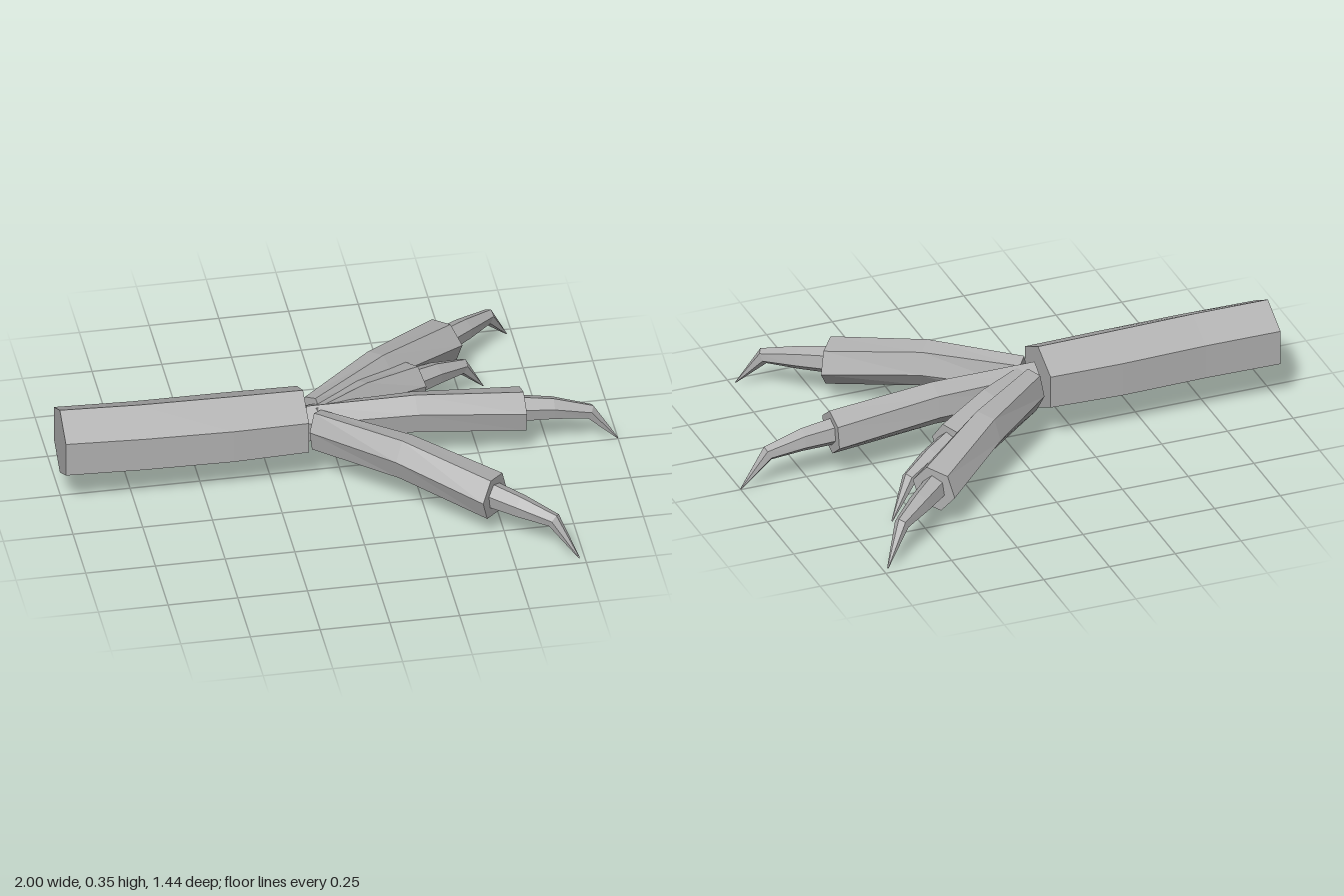
import * as THREE from 'three';

const SIDES = 6;

// Loft six-sided rings along a horizontal heading, closing both ends.
// Each ring: [x, y, z, half width, half height, forward lean]
function loft(name, material, rings, heading, rollDegrees) {
  const along = new THREE.Vector3(Math.cos(heading), 0, Math.sin(heading));
  const across = new THREE.Vector3(-along.z, 0, along.x);
  const roll = THREE.MathUtils.degToRad(rollDegrees);
  const points = [];
  const index = [];
  for (const [x, y, z, w, h, lean = 0] of rings) {
    for (let j = 0; j < SIDES; j++) {
      const a = roll + (j / SIDES) * Math.PI * 2;
      const up = Math.sin(a) * h;
      const p = new THREE.Vector3(x, y + up, z)
        .addScaledVector(across, Math.cos(a) * w)
        .addScaledVector(along, up * lean);
      points.push(p.x, p.y, p.z);
    }
  }
  for (let i = 0; i < rings.length - 1; i++) {
    for (let j = 0; j < SIDES; j++) {
      const a = i * SIDES + j;
      const b = i * SIDES + (j + 1) % SIDES;
      index.push(a, a + SIDES, b, b, a + SIDES, b + SIDES);
    }
  }
  const last = (rings.length - 1) * SIDES;
  for (let j = 1; j < SIDES - 1; j++) {
    index.push(0, j, j + 1, last, last + j + 1, last + j);
  }
  const indexed = new THREE.BufferGeometry();
  indexed.setAttribute('position', new THREE.Float32BufferAttribute(points, 3));
  indexed.setIndex(index);
  const geometry = indexed.toNonIndexed();
  geometry.computeVertexNormals();
  const mesh = new THREE.Mesh(geometry, material);
  mesh.name = name;
  return mesh;
}

// A toe with its hooked claw, from start [x, z] through end [x, z] to tip [x, z]
function makeToe(name, material, { start, end, tip, roll, width, height, y }) {
  const group = new THREE.Group();
  group.name = name;
  const mix = (a, b, t) => [a[0] + (b[0] - a[0]) * t, a[1] + (b[1] - a[1]) * t];
  const ring = (p, py, ...rest) => [p[0], py, p[1], ...rest];

  const toeHeading = Math.atan2(end[1] - start[1], end[0] - start[0]);
  group.add(loft('toe', material, [0, 0.5, 1].map((t, i) =>
    ring(mix(start, end, t), y[i], width[i], height)), toeHeading, roll));

  const clawHeading = Math.atan2(tip[1] - end[1], tip[0] - end[0]);
  const base = y[2];
  group.add(loft('claw', material, [
    ring(mix(end, tip, -0.08), base + 0.005, 0.047, 0.052),
    ring(mix(end, tip, 0.32), base - 0.008, 0.04, 0.043),
    ring(mix(end, tip, 0.7), 0.128, 0.026, 0.026, 0.5),
    ring(tip, 0.003, 0.003, 0.003),
  ], clawHeading, 20));
  return group;
}

export function createModel() {
  const model = new THREE.Group();
  model.name = 'clawedFoot';
  const grey = new THREE.MeshStandardMaterial({ color: 0xb0b0b0, flatShading: true });
  grey.name = 'grey';

  // Ridged lower leg
  model.add(loft('leg', grey, [
    [-1, 0.223, -0.01, 0.139, 0.132],
    [-0.72, 0.22, 0, 0.141, 0.13],
    [-0.4, 0.217, 0, 0.145, 0.128],
    [-0.13, 0.219, 0, 0.139, 0.123],
  ], 0, 30));

  // Long middle toe
  model.add(makeToe('middleToe', grey, {
    start: [-0.12, 0], end: [0.66, -0.007], tip: [1, 0],
    roll: 20, width: [0.05, 0.068, 0.084], height: 0.08, y: [0.2, 0.2, 0.165],
  }));

  // Pair of splayed outer toes
  for (const side of [1, -1]) {
    model.add(makeToe(side > 0 ? 'frontToe' : 'backToe', grey, {
      start: [-0.09, side * 0.045], end: [0.467, side * 0.5], tip: [0.73, side * 0.72],
      roll: 10, width: [0.05, 0.072, 0.086], height: 0.085, y: [0.2, 0.203, 0.152],
    }));
  }

  // Short toe between the middle and back toes
  model.add(makeToe('shortToe', grey, {
    start: [-0.09, 0.01], end: [0.31, -0.245], tip: [0.59, -0.412],
    roll: 10, width: [0.035, 0.05, 0.07], height: 0.083, y: [0.195, 0.197, 0.162],
  }));

  return model;
}
